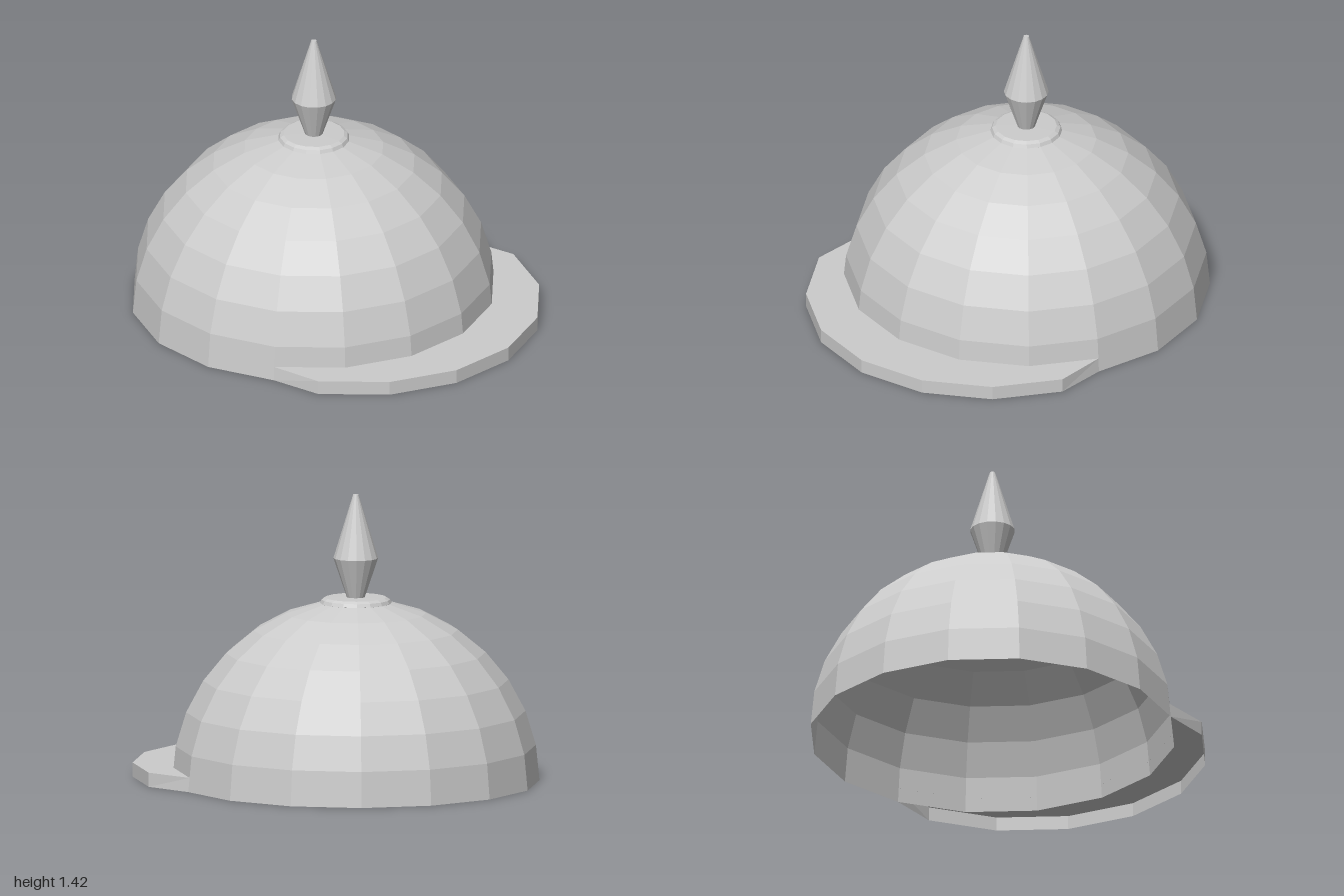
import * as THREE from 'three';

const SIDES = 16, R = 0.9, TURN = -0.046;   // dome facets, radius, slight twist
const STEP = (Math.PI * 2) / SIDES;
const CX = -0.09, CZ = -0.1;                // dome axis
const RIM = 0.07;                           // visor height

export function createModel() {
  const group = new THREE.Group();
  group.name = 'spikedHelmet';
  const grey = new THREE.MeshStandardMaterial({
    color: 0xcccccc, flatShading: true, side: THREE.DoubleSide,
  });
  grey.name = 'lightGrey';

  const add = (name, geometry) => {
    const mesh = new THREE.Mesh(geometry, grey);
    mesh.name = name;
    mesh.position.set(CX, 0, CZ);
    group.add(mesh);
  };
  const lathe = (profile) => new THREE.LatheGeometry(
    profile.map(([r, y]) => new THREE.Vector2(r, y)), SIDES, TURN, Math.PI * 2);

  // Hollow faceted dome, open underneath, up to its last ring
  const dome = [];
  for (let i = 0; i <= 7; i++) {
    const a = (i * Math.PI) / 16;
    dome.push([R * Math.cos(a), R * Math.sin(a)]);
  }
  add('dome', lathe(dome));

  // Small bevelled plate closing the top
  add('topPlate', lathe([[0.176, 0.883], [0.168, 0.9], [0.15, 0.91], [0, 0.912]]));

  // Double-cone spike
  add('spike', lathe([[0.042, 0.905], [0.11, 1.105], [0.013, 1.42], [0, 1.42]]));

  // Visor: seven rim corners shifted outwards, with a top sheet and an outer wall
  const corner = (k, r, y, shift) => [
    r * Math.sin(TURN + k * STEP) + (shift ? 0.18 : 0), y,
    r * Math.cos(TURN + k * STEP) + (shift ? 0.19 : 0),
  ];
  const positions = [];
  const quad = (a, b, c, d) => positions.push(...a, ...b, ...c, ...a, ...c, ...d);
  const first = -1, last = 5, inner = 0.893;
  const bottom = [corner(first, R, 0)], top = [corner(first, inner, RIM)];
  for (let k = first; k <= last; k++) {
    bottom.push(corner(k, R, 0, true));
    top.push(corner(k, R, RIM, true));
    if (k < last) {
      quad(corner(k, inner, RIM), corner(k, R, RIM, true),
        corner(k + 1, R, RIM, true), corner(k + 1, inner, RIM));
    }
  }
  bottom.push(corner(last, R, 0));
  top.push(corner(last, inner, RIM));
  for (let i = 0; i < bottom.length - 1; i++) {
    quad(bottom[i], bottom[i + 1], top[i + 1], top[i]);
  }
  const visor = new THREE.BufferGeometry();
  visor.setAttribute('position', new THREE.Float32BufferAttribute(positions, 3));
  visor.computeVertexNormals();
  add('visor', visor);

  return group;
}
